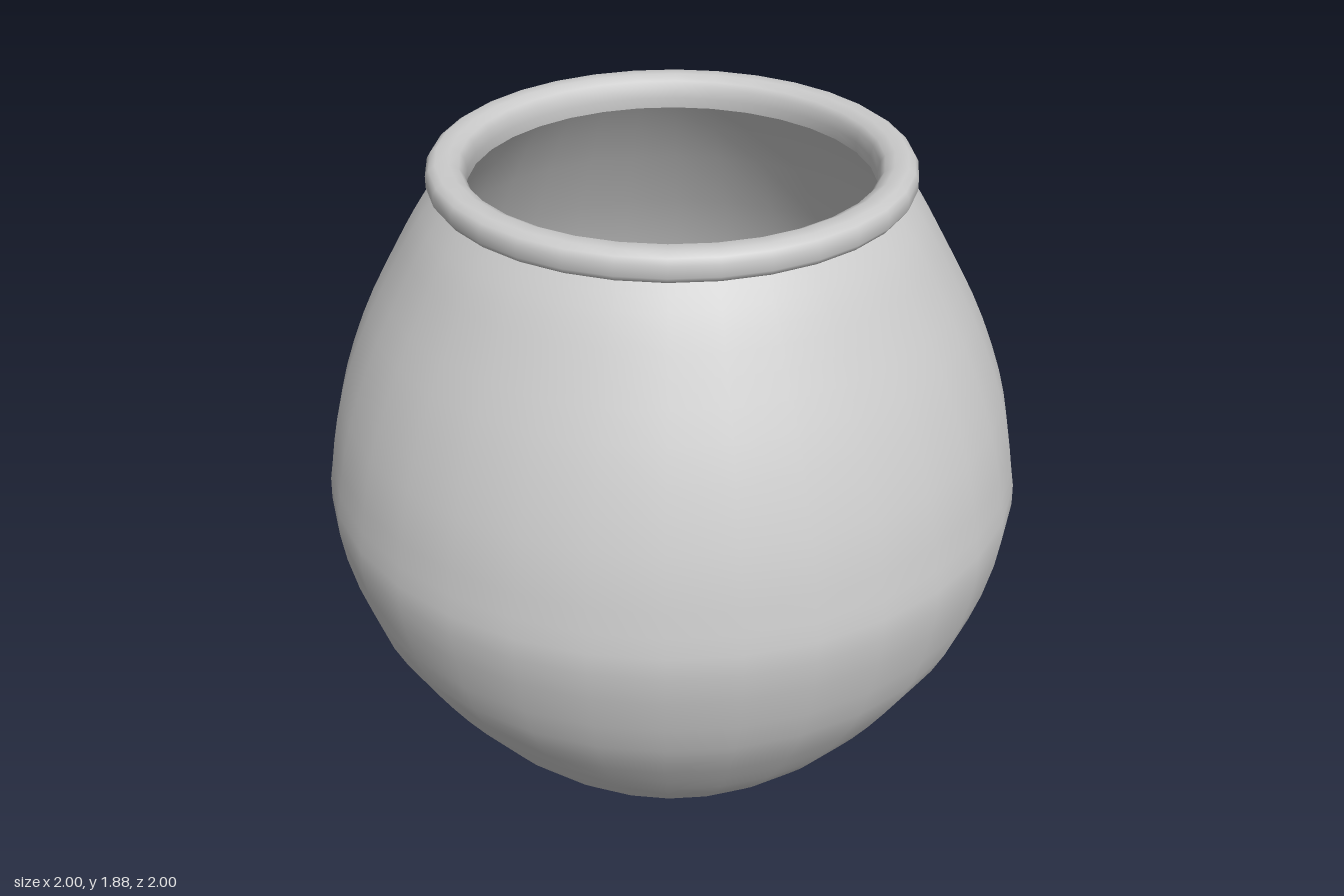
import * as THREE from 'three';

const SEGMENTS = 32;

// Revolve a profile of [radius, height] pairs around the y axis
function revolve(name, profile, material) {
  const points = profile.map(([r, y]) => new THREE.Vector2(r, y));
  const mesh = new THREE.Mesh(new THREE.LatheGeometry(points, SEGMENTS), material);
  mesh.name = name;
  return mesh;
}

export function createModel() {
  const group = new THREE.Group();
  group.name = 'pot';
  const clay = new THREE.MeshStandardMaterial({ color: 0xcccccc });

  // Flat foot
  group.add(revolve('foot', [[0, 0], [0.49, 0]], clay));

  // Round belly, from the foot up to the neck
  const belly = new THREE.SplineCurve([
    [0.49, 0], [0.56, 0.06], [0.7, 0.21], [0.84, 0.41], [0.94, 0.6], [1, 0.86],
    [0.985, 1.02], [0.945, 1.2], [0.865, 1.41], [0.765, 1.6], [0.695, 1.72], [0.635, 1.8],
  ].map(([r, y]) => new THREE.Vector2(r, y)));
  const outer = belly.getPoints(28).map((p) => [p.x, p.y]);
  group.add(revolve('belly', outer, clay));

  // Rolled rim around the mouth
  group.add(revolve('rim', [
    [0.625, 1.795], [0.65, 1.805], [0.66, 1.82], [0.66, 1.852], [0.65, 1.868], [0.632, 1.88],
    [0.595, 1.88], [0.57, 1.867], [0.558, 1.85], [0.553, 1.82], [0.555, 1.79],
  ], clay));

  // Hollow inside, running from the mouth down to a rounded floor
  group.add(revolve('innerWall', [
    [0.555, 1.79], [0.62, 1.7], [0.69, 1.58], [0.79, 1.39], [0.87, 1.19], [0.91, 1.02],
    [0.925, 0.86], [0.87, 0.62], [0.77, 0.43], [0.64, 0.25], [0.53, 0.13], [0.45, 0.08],
    [0.3, 0.07], [0, 0.07],
  ], clay));

  return group;
}
